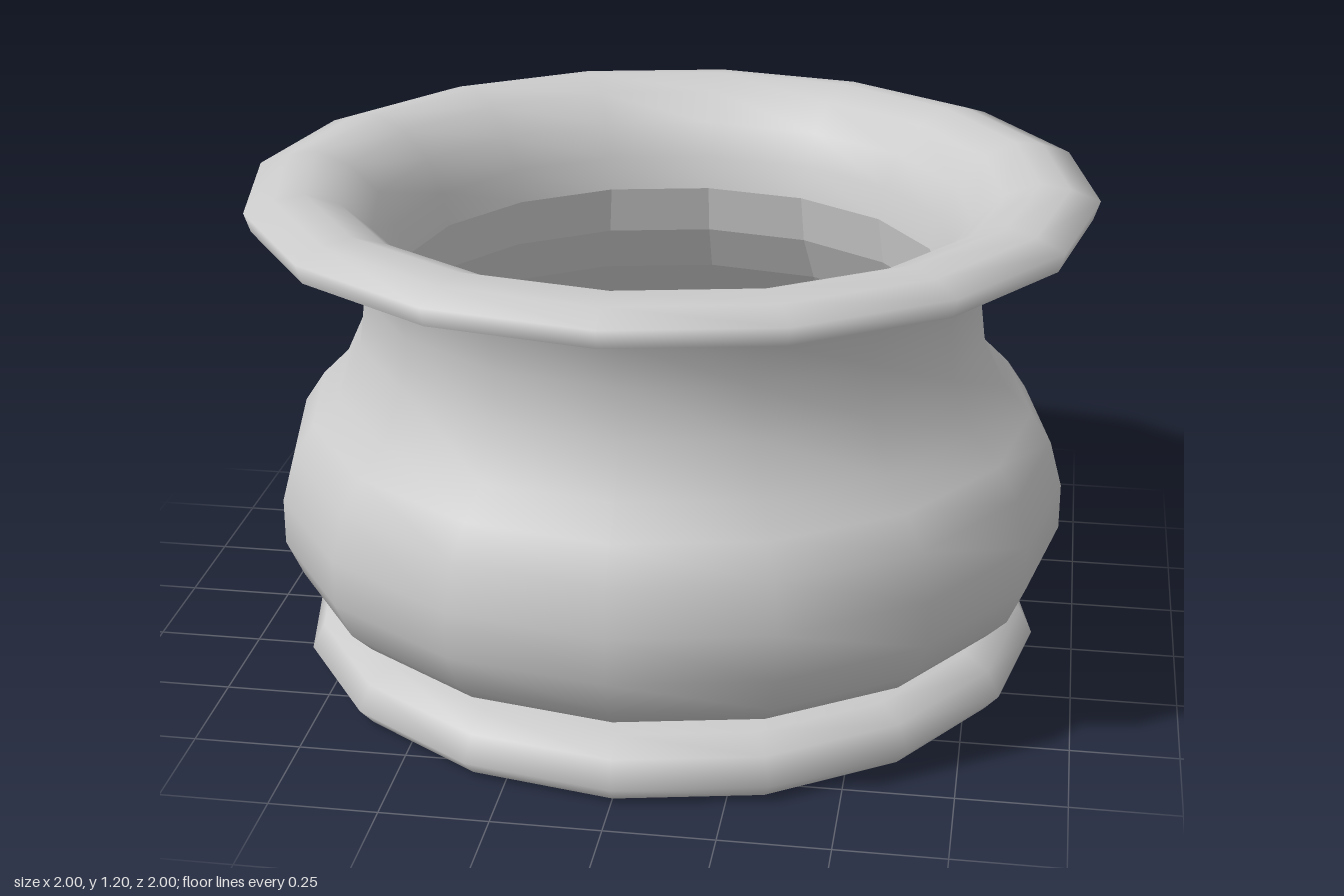
import * as THREE from 'three';

const SIDES = 16;
const smooth = new THREE.MeshStandardMaterial({ color: 0xcccccc, side: THREE.DoubleSide });
const faceted = new THREE.MeshStandardMaterial({ color: 0xcccccc, side: THREE.DoubleSide, flatShading: true });

// Turns a [radius, height] profile into a 16-sided ring; separate rings meet in sharp edges.
function turned(name, profile, material = smooth) {
  const points = profile.map(([r, y]) => new THREE.Vector2(r, y));
  const mesh = new THREE.Mesh(new THREE.LatheGeometry(points, SIDES), material);
  mesh.name = name;
  return mesh;
}

export function createModel() {
  const pot = new THREE.Group();
  pot.name = 'pot';

  // Foot: flat underside, rounded edge and a narrow groove under the belly
  pot.add(turned('footUnderside', [[0, 0], [0.865, 0]]));
  pot.add(turned('foot', [[0.865, 0], [0.9, 0.04], [0.87, 0.1], [0.81, 0.13], [0.74, 0.137]]));
  pot.add(turned('groove', [[0.74, 0.137], [0.74, 0.16]]));

  // Belly narrowing to the neck and flaring out under the rim
  pot.add(turned('belly', [
    [0.74, 0.16], [0.79, 0.167], [0.86, 0.19], [0.91, 0.24], [0.95, 0.33], [0.95, 0.44],
    [0.92, 0.55], [0.87, 0.625], [0.805, 0.69], [0.75, 0.81], [0.735, 0.93],
    [0.76, 1.04], [0.79, 1.09], [0.84, 1.115],
  ]));

  // Rim: flat underside, rounded lip, then a funnel into the mouth
  pot.add(turned('rimUnderside', [[0.84, 1.115], [0.985, 1.115]]));
  pot.add(turned('rim', [
    [0.985, 1.115], [1, 1.16], [0.93, 1.185], [0.86, 1.195],
    [0.78, 1.165], [0.71, 1.1], [0.67, 1.02], [0.65, 0.94],
  ]));

  // Hollow inside, following the belly, with a flat floor
  pot.add(turned('innerWall', [
    [0.65, 0.94], [0.67, 0.82], [0.73, 0.7], [0.84, 0.54], [0.87, 0.43],
    [0.87, 0.34], [0.82, 0.25], [0.74, 0.2],
  ], faceted));
  pot.add(turned('innerFloor', [[0.74, 0.2], [0, 0.2]], faceted));

  return pot;
}
